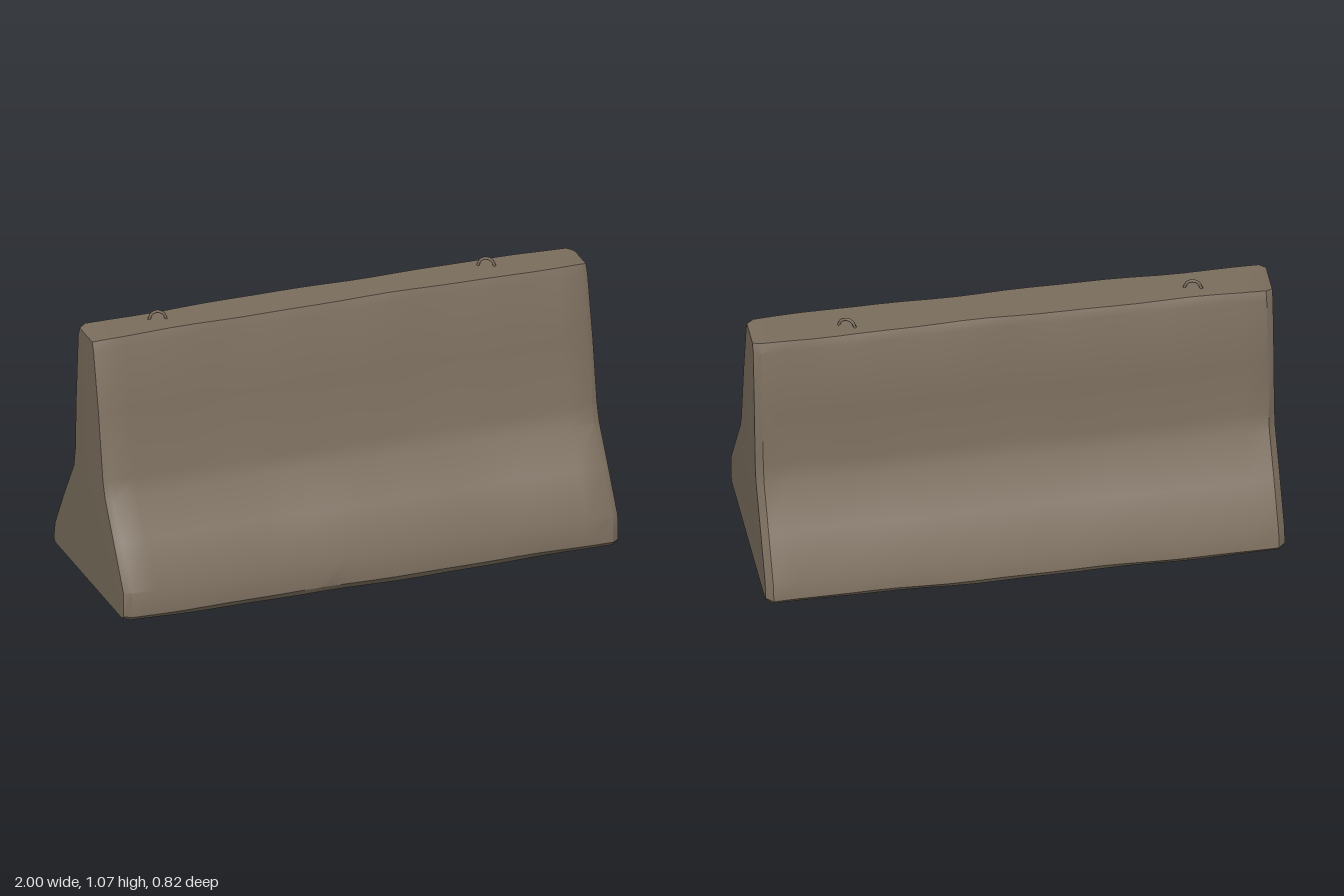
import * as THREE from 'three';
import { toCreasedNormals } from 'three/addons/utils/BufferGeometryUtils.js';

// Cross-section as [z, y]: up the front, over the top, down the back
const PROFILE = [
  [0.385, 0.012], [0.403, 0.03], [0.398, 0.13], [0.29, 0.295], [0.195, 0.435], [0.172, 0.5],
  [0.12, 0.76], [0.068, 1.0], [0.054, 1.035], [-0.108, 1.035], [-0.126, 1.0],
  [-0.15, 0.72], [-0.172, 0.5], [-0.19, 0.425], [-0.29, 0.27], [-0.39, 0.1],
  [-0.402, 0.03], [-0.385, 0.012],
];

// Section at x, gently worn along its length and drawn in at the ends
function section(x, inset) {
  const mid = 1 - x * x;
  return PROFILE.map(([z, y], i) => {
    const side = Math.sign(z + 0.02);
    const wear = 0.004 * Math.sin(7 * x + i * 0.4) + 0.002 * Math.sin(15 * x + i);
    const pull = inset * (y < 0.6 ? 0.018 : 0.012) * (side < 0 ? 1.5 : 1);
    let h = y;
    if (y > 0.9) h += 0.008 * mid - 0.007 * inset;
    else if (y < 0.02) h += -0.008 * mid + 0.004 * inset;
    return [x, h, z + side * (wear - pull)];
  });
}

// Loft through the sections, closed by a fan at each end
function barrierGeometry() {
  const xs = [-0.997, -0.97];
  for (let i = 1; i < 20; i++) xs.push(-0.97 + i * 0.097);
  xs.push(0.97, 0.997);
  const n = PROFILE.length;
  const rings = xs.map((x, j) => section(x, j === 0 || j === xs.length - 1 ? 1 : 0));
  const pos = [];
  const tri = (a, b, c) => pos.push(...a, ...b, ...c);
  for (let j = 0; j < xs.length - 1; j++) {
    for (let i = 0; i < n; i++) {
      const k = (i + 1) % n;
      const a = rings[j][i], b = rings[j + 1][i], c = rings[j + 1][k], d = rings[j][k];
      tri(a, b, c);
      tri(a, c, d);
    }
  }
  const first = rings[0], last = rings[rings.length - 1];
  for (let i = 0; i < n; i++) {
    const k = (i + 1) % n;
    tri([-1, 0.46, -0.005], first[i], first[k]);
    tri([1, 0.46, -0.005], last[k], last[i]);
  }
  const geo = new THREE.BufferGeometry();
  geo.setAttribute('position', new THREE.Float32BufferAttribute(pos, 3));
  return toCreasedNormals(geo, 0.6);
}

// Bent lifting loop standing on the top face
function liftingLoop(x, z, turn, material) {
  const points = [[-0.036, 0], [-0.022, 0.032], [0, 0.04], [0.022, 0.03], [0.034, 0]]
    .map(([px, py]) => new THREE.Vector3(px, py, 0));
  const path = new THREE.CatmullRomCurve3(points);
  const loop = new THREE.Mesh(new THREE.TubeGeometry(path, 12, 0.006, 6), material);
  loop.position.set(x, 1.03, z);
  loop.rotation.y = turn;
  return loop;
}

export function createModel() {
  const group = new THREE.Group();
  group.name = 'roadBarrier';
  const concrete = new THREE.MeshStandardMaterial({ color: 0x7a6d5d });
  concrete.name = 'brown grey concrete';

  const body = new THREE.Mesh(barrierGeometry(), concrete);
  body.name = 'barrierBody';
  group.add(body);

  const rightLoop = liftingLoop(-0.7, -0.045, -0.25, concrete);
  rightLoop.name = 'liftingLoopRight';
  const leftLoop = liftingLoop(0.63, -0.055, -0.45, concrete);
  leftLoop.name = 'liftingLoopLeft';
  group.add(rightLoop, leftLoop);
  return group;
}
